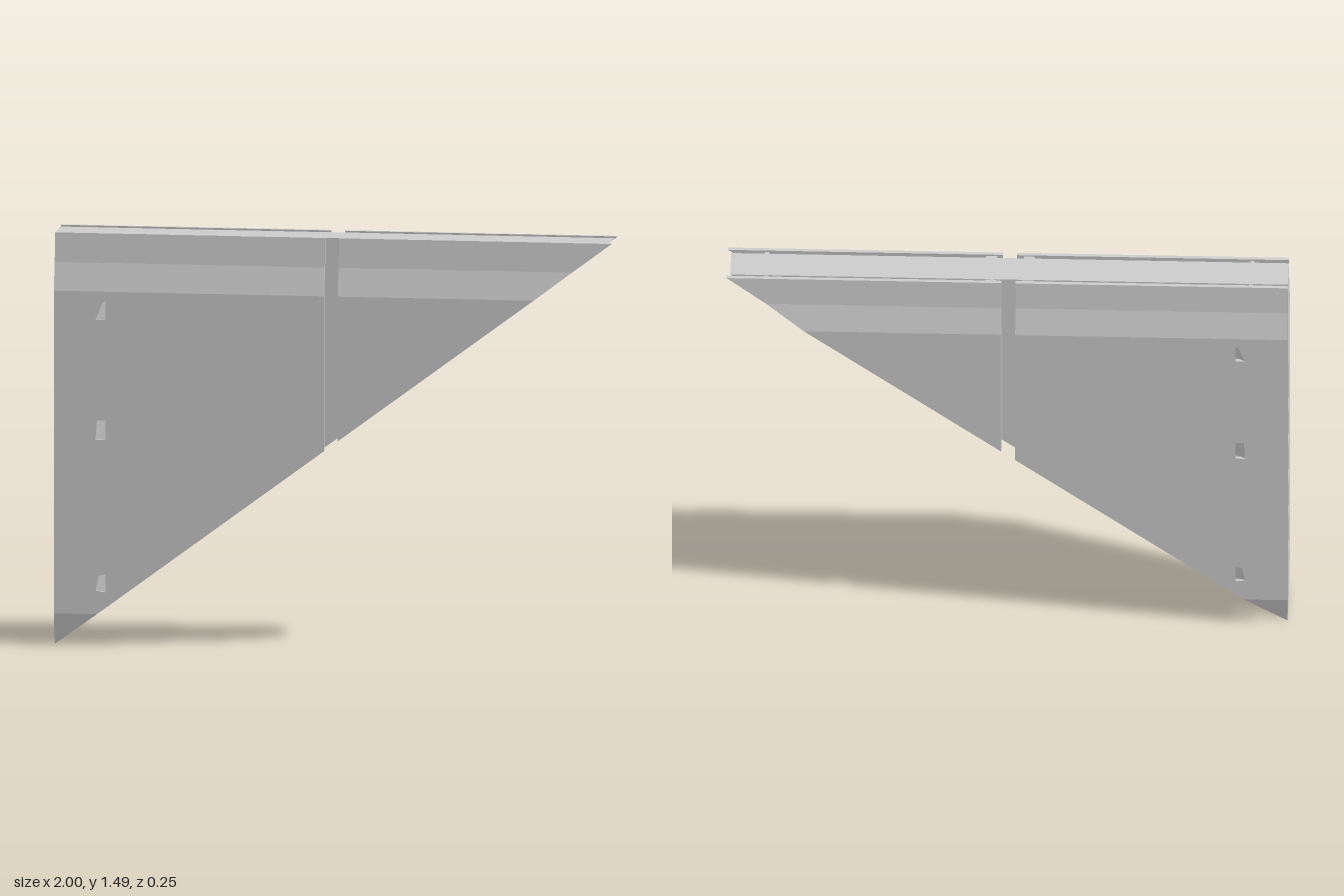
import * as THREE from 'three';

const TOP = 1.485, SLOPE = TOP / 2;
const OUT = 0.125, THICK = 0.014, CORE = 0.063;
const material = new THREE.MeshStandardMaterial({ color: 0xcccccc, side: THREE.DoubleSide });

// Depth of the outer skin by height: curls inward at top and bottom
const BEND = [[0, 0.093], [0.115, OUT], [1.28, OUT], [1.38, 0.099], [TOP, 0.09]];
function skin(x, y) {
  let i = 0;
  while (i < BEND.length - 2 && y > BEND[i + 1][0]) i++;
  const [ya, za] = BEND[i], [yb, zb] = BEND[i + 1];
  return THREE.MathUtils.lerp(za, zb, (y - ya) / (yb - ya));
}
const skinInside = (x, y) => skin(x, y) - THICK;

// Keep the part of a polygon where f(x, y) >= 0
function clip(poly, f) {
  const out = [];
  poly.forEach((p, i) => {
    const q = poly[(i + 1) % poly.length], a = f(...p), b = f(...q);
    if (a >= 0) out.push(p);
    if ((a > 0 && b < 0) || (a < 0 && b > 0)) {
      const t = a / (a - b);
      out.push([p[0] + (q[0] - p[0]) * t, p[1] + (q[1] - p[1]) * t]);
    }
  });
  return out;
}

// Rectangle cut by the sloping lower edge
const region = (x0, x1, y0, y1, gap = 0) =>
  clip([[x0, y0], [x1, y0], [x1, y1], [x0, y1]], (x, y) => y - SLOPE * (x + 1) - gap);

const points = (list) => list.map(([x, y]) => new THREE.Vector2(x, y));

// Solid between two depth functions; side -1 places it on the back
function slab(name, poly, inner, outer, side = 1, holes = []) {
  const shape = new THREE.Shape(points(poly));
  holes.forEach((h) => shape.holes.push(new THREE.Path(points(h))));
  const geo = new THREE.ExtrudeGeometry(shape, { depth: 1, bevelEnabled: false });
  const p = geo.attributes.position;
  for (let i = 0; i < p.count; i++) {
    const x = p.getX(i), y = p.getY(i), far = p.getZ(i) > 0.5;
    p.setZ(i, side > 0 ? (far ? outer(x, y) : inner(x, y)) : -(far ? inner(x, y) : outer(x, y)));
  }
  geo.computeVertexNormals();
  const mesh = new THREE.Mesh(geo, material);
  mesh.name = name;
  return mesh;
}

// Small pockets near the tall edge of the wide panel
const POCKETS = [
  [[-0.85, 1.18], [-0.815, 1.18], [-0.815, 1.245], [-0.825, 1.24]],
  [[-0.85, 0.745], [-0.815, 0.745], [-0.815, 0.815], [-0.845, 0.815]],
  [[-0.85, 0.2], [-0.815, 0.195], [-0.815, 0.26], [-0.838, 0.255]],
];

function createCore() {
  const core = new THREE.Group();
  core.name = 'core';
  const tri = [[-1, 0.01], [0.988, TOP - 0.004], [-1, TOP - 0.004]];
  // Slots in the tall end, as notches of the middle layer
  const slots = [[0.9, 1.1], [0.74, 0.88], [0.58, 0.72], [0.42, 0.56], [0.26, 0.4]];
  const notched = tri.slice();
  for (const [lo, hi] of slots) notched.push([-1, hi], [-0.95, hi], [-0.95, lo], [-1, lo]);
  const d = (v) => () => v;
  core.add(slab('slottedCoreLayer', notched, d(-0.036), d(0.036)));
  for (const side of [1, -1]) core.add(slab('coreFace', tri, d(0.036), d(CORE), side));
  return core;
}

function createCover(side) {
  const cover = new THREE.Group();
  cover.name = side > 0 ? 'frontCover' : 'backCover';
  // Two curved panels with a gap between them, in bands between the bends
  for (const [name, x0, x1] of [['widePanel', -1, -0.03], ['pointedPanel', 0.02, 1]]) {
    const panel = new THREE.Group();
    panel.name = name;
    for (let i = 0; i < BEND.length - 1; i++) {
      const poly = region(x0, x1, BEND[i][0], BEND[i + 1][0]);
      if (poly.length < 3) continue;
      const holes = name === 'widePanel' && i === 1 ? POCKETS : [];
      panel.add(slab('panelBand', poly, skinInside, skin, side, holes));
    }
    cover.add(panel);
  }
  // Sloped pocket floors
  const floor = (x) => OUT - 0.002 - 0.6 * (x + 0.85);
  for (const h of POCKETS) cover.add(slab('pocketFloor', h, (x) => floor(x) - 0.004, floor, side));
  // Spacer ribs between core and panels
  for (const [x0, x1] of [[-0.877, -0.862], [-0.095, -0.055], [0.04, 0.08], [0.852, 0.867]]) {
    for (let i = 0; i < BEND.length - 1; i++) {
      const poly = region(x0, x1, BEND[i][0], Math.min(BEND[i + 1][0], TOP - 0.006), 0.018);
      if (poly.length > 2) cover.add(slab('spacerRib', poly, () => CORE - 0.002, skinInside, side));
    }
  }
  return cover;
}

export function createModel() {
  const model = new THREE.Group();
  model.name = 'triangularWingPanel';
  model.add(createCore(), createCover(1), createCover(-1));
  return model;
}
